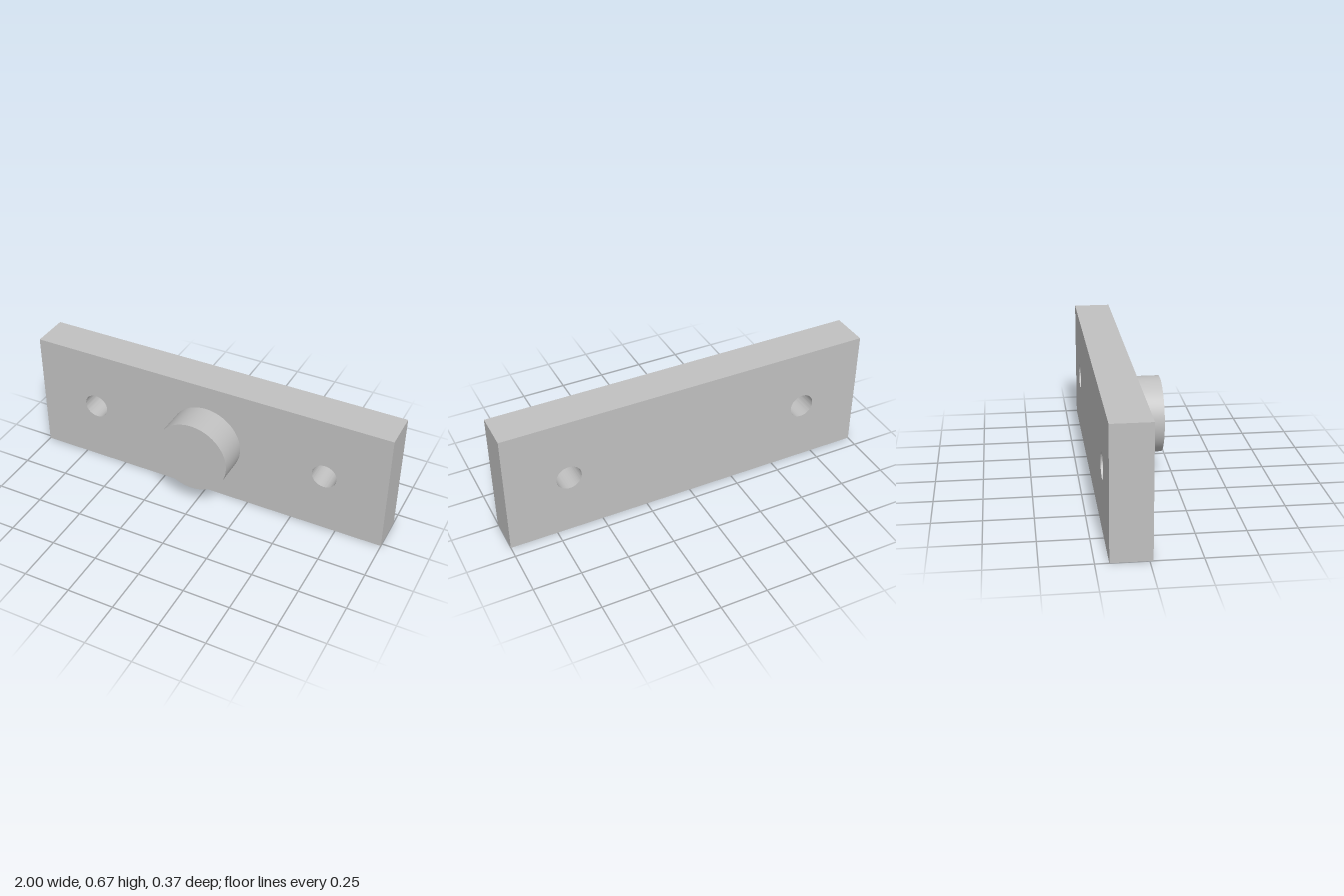
import * as THREE from 'three';
import { toCreasedNormals } from 'three/addons/utils/BufferGeometryUtils.js';

const WIDTH = 2, HEIGHT = 0.6667, THICKNESS = 0.2;
const BACK = -0.1833, FRONT = BACK + THICKNESS;
const HOLE_X = 0.6667, HOLE_RADIUS = 0.0667;
const BOSS_RADIUS = 0.2, BOSS_LENGTH = 0.1667;

export function createModel() {
  const model = new THREE.Group();
  model.name = 'mountingPlate';
  const metal = new THREE.MeshStandardMaterial({ color: 0xc0c0c0 });
  metal.name = 'light grey metal';

  // Rectangular plate with a through hole near each end
  const outline = new THREE.Shape();
  outline.moveTo(-WIDTH / 2, 0);
  outline.lineTo(WIDTH / 2, 0);
  outline.lineTo(WIDTH / 2, HEIGHT);
  outline.lineTo(-WIDTH / 2, HEIGHT);
  outline.closePath();
  for (const side of [-1, 1]) {
    const hole = new THREE.Path();
    hole.absarc(side * HOLE_X, HEIGHT / 2, HOLE_RADIUS, 0, Math.PI * 2, true);
    outline.holes.push(hole);
  }
  const plateGeometry = new THREE.ExtrudeGeometry(outline, {
    depth: THICKNESS, bevelEnabled: false, curveSegments: 48,
  });
  const plate = new THREE.Mesh(toCreasedNormals(plateGeometry, Math.PI / 6), metal);
  plate.name = 'plate';
  plate.position.z = BACK;
  model.add(plate);

  // Round boss standing out from the middle of the front face
  const bossGeometry = new THREE.CylinderGeometry(BOSS_RADIUS, BOSS_RADIUS, BOSS_LENGTH, 96);
  bossGeometry.rotateX(Math.PI / 2);
  const boss = new THREE.Mesh(bossGeometry, metal);
  boss.name = 'boss';
  boss.position.set(0, HEIGHT / 2, FRONT + BOSS_LENGTH / 2);
  model.add(boss);

  return model;
}
